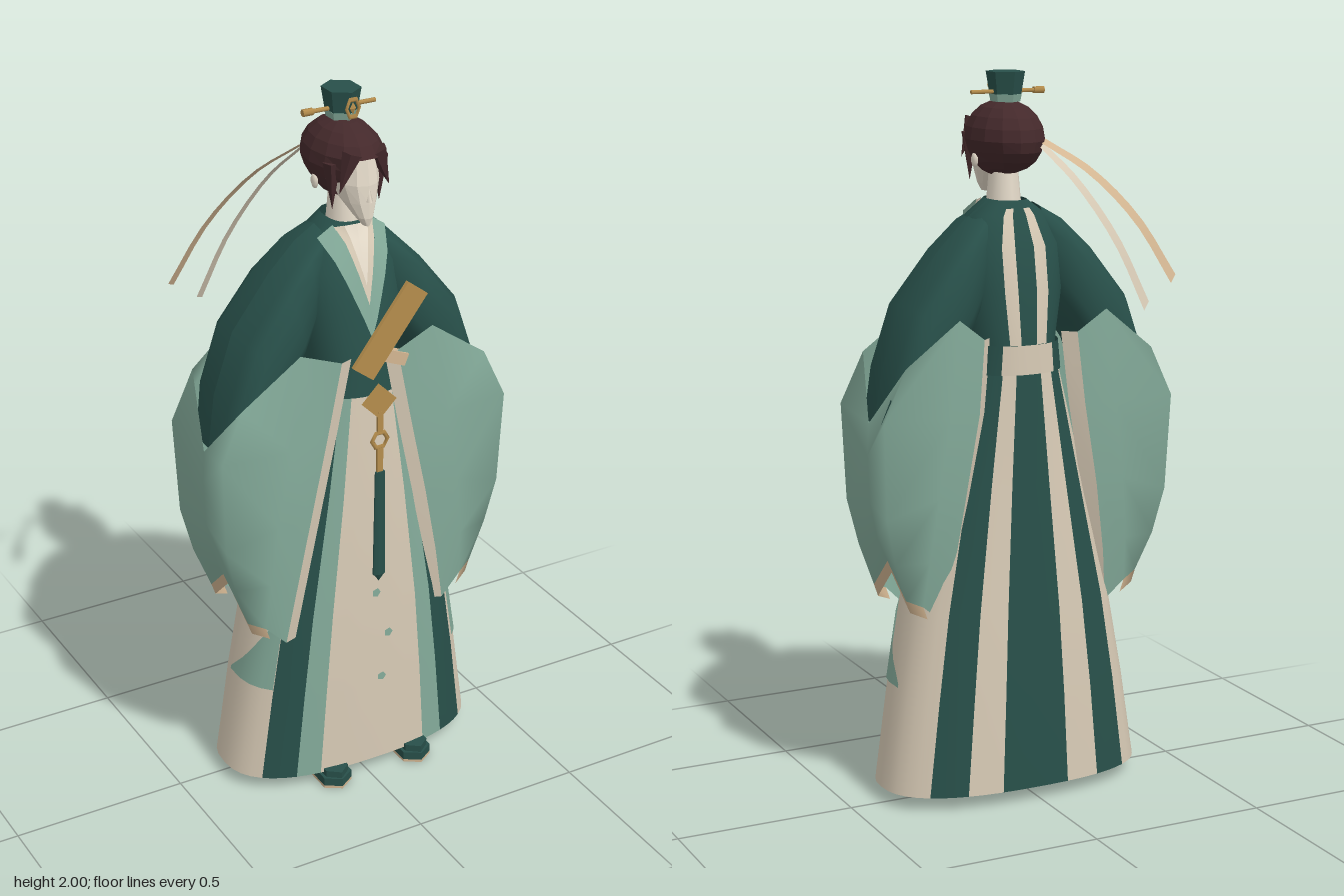
import * as THREE from 'three';

const mat = (name, color, side = THREE.DoubleSide) => {
  const m = new THREE.MeshStandardMaterial({ color, side });
  m.name = name;
  return m;
};

export function createModel() {
  const root = new THREE.Group();
  root.name = 'robedFigure';
  const dark = mat('darkGreen', 0x28504a), light = mat('paleGreen', 0x84ab9a), cream = mat('cream', 0xd8cbb6);
  const tan = mat('tan', 0xd3b692), gold = mat('gold', 0xb58d4c), hairM = mat('hairBrown', 0x44292b), skin = mat('skin', 0xe6dccb);

  const add = (name, geo, m, x = 0, y = 0, z = 0, parent = root) => {
    const mesh = new THREE.Mesh(geo, m);
    mesh.name = name;
    mesh.position.set(x, y, z);
    parent.add(mesh);
    return mesh;
  };
  const faceted = (g) => {
    const f = g.index ? g.toNonIndexed() : g;
    f.computeVertexNormals();
    return f;
  };
  // Surface through columns of points
  const grid = (cols) => {
    const r = cols[0].length, idx = [];
    for (let c = 0; c < cols.length - 1; c++) {
      for (let k = 0; k < r - 1; k++) {
        const a = c * r + k, b = a + r;
        idx.push(a, a + 1, b, b, a + 1, b + 1);
      }
    }
    const g = new THREE.BufferGeometry();
    g.setAttribute('position', new THREE.Float32BufferAttribute(cols.flat(2), 3));
    g.setIndex(idx);
    g.computeVertexNormals();
    return g;
  };

  // Robe cross-sections: [y, half width, front z, back z]
  const CX = 0.018, P = 0.8;
  const skirt = [[0.04, 0.385, 0.21, -0.18], [0.3, 0.345, 0.213, -0.175], [0.55, 0.3, 0.213, -0.165],
    [0.9, 0.215, 0.205, -0.145], [1.23, 0.132, 0.185, -0.13]];
  const torso = [[1.2, 0.135, 0.185, -0.13], [1.28, 0.125, 0.178, -0.13], [1.42, 0.15, 0.16, -0.12],
    [1.54, 0.15, 0.13, -0.1], [1.62, 0.105, 0.1, -0.07], [1.66, 0.05, 0.085, -0.055]];
  const section = (rows, y) => {
    let i = 0;
    while (i < rows.length - 2 && y > rows[i + 1][0]) i++;
    const t = (y - rows[i][0]) / (rows[i + 1][0] - rows[i][0]);
    return rows[i].map((v, k) => v + (rows[i + 1][k] - v) * t);
  };
  const power = (v) => Math.sign(v) * Math.abs(v) ** P;
  const surf = (rows, u, y, off = 0) => {
    const [, w, f, b] = section(rows, y);
    return [CX + (w + off) * power(Math.cos(u)), y, (f + b) / 2 + ((f - b) / 2 + off) * power(Math.sin(u))];
  };
  const ang = (f) => Math.acos(f ** (1 / P));
  const panel = (name, rows, u0, u1, m, off = 0, y0 = rows[0][0], y1 = rows.at(-1)[0]) => {
    const cols = [], n = Math.max(2, Math.ceil(Math.abs(u1 - u0) / 0.16));
    const ys = [y0, ...rows.map((r) => r[0]).filter((y) => y > y0 && y < y1), y1];
    for (let i = 0; i <= n; i++) cols.push(ys.map((y) => surf(rows, u0 + (u1 - u0) * i / n, y, off)));
    return add(name, grid(cols), m);
  };
  // Panel on both sides of the body
  const pair = (name, rows, u0, u1, ...rest) => {
    panel(name, rows, u0, u1, ...rest);
    panel(name, rows, Math.PI - u0, Math.PI - u1, ...rest);
  };

  // Skirt with striped panels
  const H = Math.PI / 2;
  panel('skirtFront', skirt, ang(0.44), Math.PI - ang(0.44), cream);
  pair('skirtPaleStripe', skirt, ang(0.44), ang(0.62), light);
  pair('skirtDarkStripe', skirt, ang(0.62), ang(0.85), dark);
  pair('skirtSide', skirt, ang(0.85), -ang(0.78), cream);
  pair('skirtBackDark', skirt, -ang(0.78), -ang(0.52), dark);
  pair('skirtBackCream', skirt, -ang(0.52), -ang(0.26), cream);
  panel('skirtBackCentre', skirt, -ang(0.26), -Math.PI + ang(0.26), dark);
  panel('skirtLining', skirt, 0, Math.PI * 2, cream, -0.006, 0.041, 1.2);
  for (const s of [0, 1]) {
    const cols = [0, 0.25, 0.5, 0.75, 1].map((t) => [0.33, 0.57 - 0.23 * t].map((y) => {
      const u = ang(0.85) * (1 - t) - 0.1 * t;
      return surf(skirt, s ? Math.PI - u : u, y, 0.005);
    }));
    add('skirtSidePatch', grid(cols), light);
  }
  [[0.015, 0.6], [0.055, 0.46], [0.035, 0.32]].forEach(([x, y]) =>
    add('skirtMotif', new THREE.CircleGeometry(0.014, 5), light, x, y, 0.219));

  // Torso, back stripes and belt
  panel('torso', torso, 0, Math.PI * 2, dark);
  pair('backStripe', torso, -ang(0.42), -ang(0.18), cream, 0.004, 1.28, 1.64);
  panel('belt', torso, -ang(0.55), Math.PI + ang(0.55), dark, 0.008, 1.2, 1.28);
  panel('beltBack', torso, -ang(0.55), -Math.PI + ang(0.55), cream, 0.008, 1.2, 1.28);

  // Crossed collar laid on the chest
  const chest = (dx, y, off) => {
    const w = section(torso, y)[1];
    return surf(torso, dx < 0 ? Math.PI - ang(Math.min(1, -dx / w)) : ang(Math.min(1, dx / w)), y, off);
  };
  const strip = (name, s, a, b, m, off) => {
    const cols = [a, b].map(([p, q]) => [0, 0.2, 0.4, 0.6, 0.8, 1].map((t) =>
      chest(s * (p[0] + (q[0] - p[0]) * t), p[1] + (q[1] - p[1]) * t, off)));
    add(name, grid(cols), m);
  };
  for (const s of [-1, 1]) {
    strip('chestSkin', s, [[0, 1.655], [0, 1.46]], [[0.045, 1.65], [0, 1.46]], skin, 0.007);
    strip('innerCollar', s, [[0.03, 1.655], [0, 1.5]], [[0.05, 1.65], [0, 1.44]], cream, 0.01);
    strip('collar', s, [[0.048, 1.655], [0, 1.45]], [[0.09, 1.625], [0, 1.36]], light, 0.013);
  }

  // Sleeves: dark upper sleeve, wide pale hanging sleeve
  const upper = [[0.07, 1.645, 0.1, 1.4, 0.09, -0.06], [0.13, 1.61, 0.12, 1.36, 0.125, -0.09], [0.21, 1.53, 0.15, 1.31, 0.15, -0.115],
    [0.32, 1.39, 0.2, 1.24, 0.162, -0.12], [0.378, 1.22, 0.24, 1.12, 0.162, -0.12], [0.4, 1.07, 0.27, 1.05, 0.155, -0.1]];
  const sleeve = [
    [[0.085, 1.32, 0.2], [0.13, 1.1, 0.2], [0.18, 0.87, 0.2], [0.22, 0.67, 0.195], [0.25, 0.5, 0.185]],
    [[0.2, 1.36, 0.185], [0.24, 1.1, 0.207], [0.28, 0.88, 0.205], [0.3, 0.7, 0.195], [0.31, 0.56, 0.18]],
    [[0.37, 1.24, 0.18], [0.435, 1.1, 0.188], [0.425, 0.83, 0.18], [0.395, 0.7, 0.17], [0.355, 0.58, 0.16]],
    [[0.415, 1.07, 0.04], [0.42, 0.98, 0.04], [0.415, 0.85, 0.04], [0.395, 0.75, 0.04], [0.365, 0.68, 0.04]],
    [[0.37, 1.24, -0.11], [0.435, 1.1, -0.112], [0.425, 0.83, -0.1], [0.395, 0.7, -0.085], [0.355, 0.59, -0.06]],
    [[0.22, 1.36, -0.125], [0.25, 1.1, -0.13], [0.28, 0.88, -0.12], [0.3, 0.7, -0.1], [0.31, 0.57, -0.075]],
    [[0.14, 1.3, -0.11], [0.16, 1.1, -0.12], [0.2, 0.87, -0.115], [0.23, 0.67, -0.1], [0.25, 0.52, -0.075]]];
  for (const s of [-1, 1]) {
    const g = new THREE.Group();
    g.name = s > 0 ? 'leftSleeve' : 'rightSleeve';
    root.add(g);
    const flip = (cols) => grid(cols.map((c) => c.map(([x, y, z]) => [s * x, y, z])));
    add('upperSleeve', flip(upper.map(([tx, ty, bx, by, f, b]) => {
      const ring = [];
      for (let i = 0; i <= 16; i++) {
        const a = i / 16 * Math.PI * 2, v = (1 + power(Math.cos(a))) / 2;
        ring.push([bx + (tx - bx) * v, by + (ty - by) * v, (f + b) / 2 + (f - b) / 2 * Math.sign(Math.sin(a)) * Math.abs(Math.sin(a)) ** 0.6]);
      }
      return ring;
    })), dark, 0.005, 0, 0, g);
    add('hangingSleeve', flip(sleeve), light, 0, 0, 0, g);
    const edge = (c, dz) => [c, c.map(([x, y, z]) => [x - 0.035, y, z + dz])];
    add('sleeveFrontLining', flip(edge(sleeve[0], -0.012)), cream, 0, 0, 0, g);
    add('sleeveBackLining', flip(edge(sleeve[6], 0.03)), cream, 0, 0, 0, g);
    add('sleeveHemTrim', flip(sleeve.slice(1, 6).map((c) => {
      const [x, y, z] = c[4];
      return [[x, y, z], [x - 0.012, y - 0.035, z]];
    })), tan, 0, 0, 0, g);
  }

  // Hands and the held tablet
  add('hands', new THREE.BoxGeometry(0.12, 0.035, 0.03), tan, 0.055, 1.31, 0.19).rotation.z = -0.4;
  add('tablet', new THREE.BoxGeometry(0.075, 0.27, 0.012), gold, 0.05, 1.39, 0.215).rotation.z = -0.65;

  // Waist pendant and tassel
  add('pendantDiamond', new THREE.BoxGeometry(0.072, 0.072, 0.01), gold, 0.02, 1.19, 0.215).rotation.z = Math.PI / 4;
  add('pendantCord', new THREE.BoxGeometry(0.016, 0.06, 0.008), gold, 0.022, 1.13, 0.217);
  add('pendantRing', new THREE.TorusGeometry(0.024, 0.007, 4, 6), gold, 0.022, 1.075, 0.217);
  add('pendantRod', new THREE.BoxGeometry(0.018, 0.08, 0.008), gold, 0.022, 1.015, 0.217);
  add('tassel', new THREE.CylinderGeometry(0.016, 0.02, 0.32, 6).scale(1, 1, 0.4), dark, 0.022, 0.82, 0.219);
  add('tasselTip', new THREE.ConeGeometry(0.02, 0.025, 6).rotateX(Math.PI).scale(1, 1, 0.4), dark, 0.022, 0.65, 0.219);

  // Shoes with soles
  const shoe = (z0, depth) => {
    const s = new THREE.Shape([[-0.044, z0], [0.044, z0], [0.044, 0.22], [0, 0.248], [-0.044, 0.22]].map((p) => new THREE.Vector2(...p)));
    return new THREE.ExtrudeGeometry(s, { depth, bevelEnabled: false }).rotateX(H);
  };
  for (const x of [-0.107, 0.155]) {
    add('sole', shoe(-0.04, 0.008), tan, x, 0.008, 0);
    add('shoe', shoe(-0.04, 0.024), dark, x, 0.032, 0);
    add('toeCap', shoe(0.15, 0.022).scale(0.8, 1, 0.98), dark, x, 0.052, 0);
  }

  // Neck and face
  add('neck', new THREE.CylinderGeometry(0.036, 0.05, 0.16, 10).scale(1, 1, 1.2), skin, CX + 0.002, 1.69, 0.02);
  const face = [[1.668, 0.008, 0.152, 0.12], [1.69, 0.024, 0.157, 0.09], [1.73, 0.045, 0.157, 0.03], [1.78, 0.06, 0.155, 0], [1.85, 0.055, 0.145, 0]];
  add('face', faceted(grid(face.map(([y, w, f, b]) => Array.from({ length: 13 }, (_, i) => {
    const a = i / 12 * Math.PI * 2;
    return [0.02 + w * Math.sin(a), y, (f + b) / 2 + (f - b) / 2 * Math.cos(a)];
  })))), skin);
  add('nose', new THREE.ConeGeometry(0.01, 0.035, 4), skin, 0.02, 1.755, 0.157);

  // Hair: faceted cap, cut back around the face
  const hair = new THREE.SphereGeometry(1, 14, 10);
  const hp = hair.attributes.position;
  for (let i = 0; i < hp.count; i++) {
    let x = hp.getX(i) * 0.1, y = hp.getY(i) * 0.105, z = hp.getZ(i) * 0.15;
    if (y < 0) x *= 0.95;
    if (y < 0.02 && z > 0.03) z = 0.03 + (z - 0.03) * (Math.abs(x) > 0.05 ? 0.8 : 0.15);
    if (z < 0 && y < 0) y *= 0.9;
    hp.setXYZ(i, 0.02 + x, 1.82 + y, 0.016 + z);
  }
  add('hair', faceted(hair), hairM);
  for (const s of [-1, 1]) {
    add('forelock', faceted(new THREE.ConeGeometry(0.036, 0.11, 5).rotateX(Math.PI).scale(0.8, 1, 0.7)), hairM, 0.02 + s * 0.055, 1.815, 0.13).rotation.z = s * 0.35;
    add('sideLock', faceted(new THREE.ConeGeometry(0.025, 0.13, 5).rotateX(Math.PI)), hairM, 0.02 + s * 0.07, 1.77, 0.085);
    add('ear', new THREE.SphereGeometry(0.016, 6, 5).scale(0.5, 1.3, 1), skin, 0.02 + s * 0.086, 1.765, 0.02);
  }

  // Hair crown, ornament and pin
  add('crownBase', faceted(new THREE.CylinderGeometry(0.05, 0.045, 0.02, 6).scale(0.85, 1, 1)), light, 0.024, 1.93, 0);
  add('crown', faceted(new THREE.CylinderGeometry(0.058, 0.047, 0.06, 6).scale(0.88, 1, 1)), dark, 0.024, 1.97, 0);
  add('crownOrnament', new THREE.TorusGeometry(0.022, 0.006, 4, 6).scale(0.85, 1.2, 1), gold, 0.024, 1.96, 0.062);
  add('crownJewel', new THREE.OctahedronGeometry(0.013).scale(0.7, 1.3, 0.4), gold, 0.024, 1.96, 0.062);
  add('hairpin', new THREE.CylinderGeometry(0.006, 0.006, 0.215, 6).rotateZ(H), gold, 0.018, 1.947, 0);
  add('hairpinHead', new THREE.CylinderGeometry(0.01, 0.01, 0.03, 6).rotateZ(H), gold, -0.075, 1.947, 0);

  // Trailing ribbons
  const ribbon = (pts, m) => {
    const path = new THREE.CatmullRomCurve3(pts.map((p) => new THREE.Vector3(...p))).getPoints(10);
    const side = (k) => path.map((p, i) => {
      const w = k * (0.6 + 0.04 * i);
      return [p.x + 0.015 * w, p.y - 0.009 * w, p.z - 0.014 * w];
    });
    add('ribbon', grid([side(-1), side(1)]), m);
  };
  ribbon([[-0.04, 1.82, -0.1], [-0.15, 1.74, -0.16], [-0.27, 1.61, -0.2], [-0.372, 1.445, -0.222]], tan);
  ribbon([[-0.03, 1.81, -0.11], [-0.1, 1.72, -0.17], [-0.2, 1.56, -0.215], [-0.28, 1.38, -0.24]], cream);

  return root;
}
